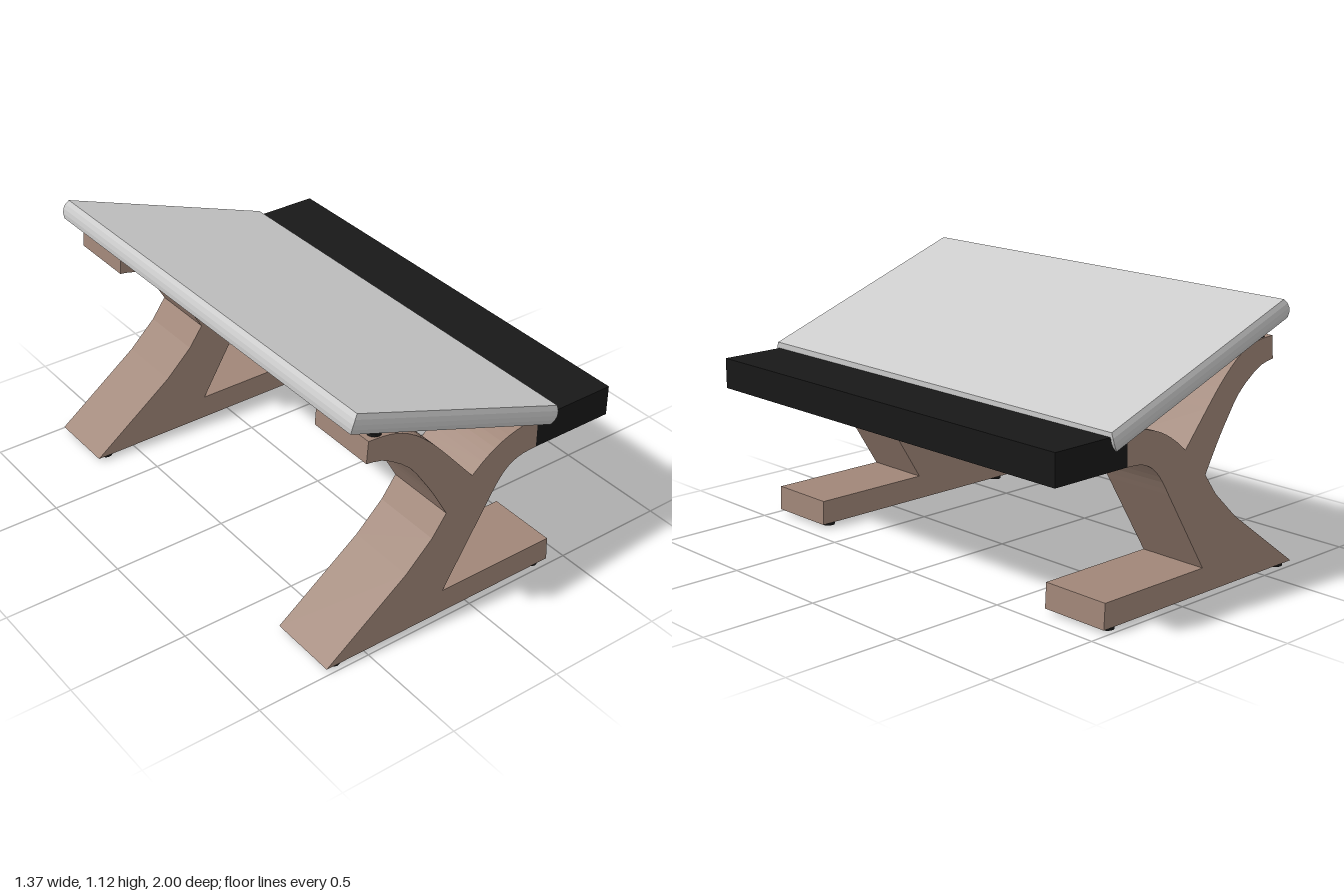
import * as THREE from 'three';

const material = (color) => new THREE.MeshStandardMaterial({ color, flatShading: true });
const grey = material(0xcccccc);
const brown = material(0xa08678);
const black = material(0x181818);

const v = (pairs) => pairs.map(([x, y]) => new THREE.Vector2(x, y));

function addMesh(parent, name, geometry, mat, x = 0, y = 0, z = 0) {
  const mesh = new THREE.Mesh(geometry, mat);
  mesh.name = name;
  mesh.position.set(x, y, z);
  parent.add(mesh);
  return mesh;
}

// Side outline of a leg: long foot, slanted stem and two curved arms
function legShape() {
  const s = new THREE.Shape();
  s.moveTo(-0.685, 0.015);
  s.lineTo(0.42, 0.015);
  s.lineTo(0.415, 0.12);
  s.lineTo(-0.13, 0.12);
  s.lineTo(0.08, 0.462);
  s.splineThru(v([[0.123, 0.53], [0.17, 0.58], [0.23, 0.608], [0.31, 0.615]]));
  s.lineTo(0.31, 0.745);
  s.splineThru(v([[0.22, 0.74], [0.13, 0.712], [0.055, 0.669], [-0.01, 0.617]]));
  s.lineTo(-0.13, 0.757);
  s.splineThru(v([[-0.205, 0.84], [-0.285, 0.912], [-0.36, 0.955], [-0.43, 0.974], [-0.507, 0.98]]));
  s.lineTo(-0.515, 0.887);
  s.splineThru(v([[-0.43, 0.866], [-0.32, 0.788], [-0.25, 0.695], [-0.195, 0.61], [-0.13, 0.495]]));
  s.lineTo(-0.195, 0.405);
  s.lineTo(-0.315, 0.29);
  return s;
}

// Slab whose four side faces bulge gently outwards
function boardGeometry(length, thickness, width, bulge) {
  const g = new THREE.BoxGeometry(length, thickness, width, 1, 4, 1);
  const p = g.attributes.position;
  for (let i = 0; i < p.count; i++) {
    const inset = bulge * (2 * p.getY(i) / thickness) ** 2;
    p.setX(i, p.getX(i) - Math.sign(p.getX(i)) * inset);
    p.setZ(i, p.getZ(i) - Math.sign(p.getZ(i)) * inset);
  }
  g.computeVertexNormals();
  return g;
}

export function createModel() {
  const model = new THREE.Group();
  model.name = 'slopedDesk';

  // Two legs with feet below and rests under the board
  const legWidth = 0.305;
  const legGeometry = new THREE.ExtrudeGeometry(legShape(), {
    depth: legWidth, bevelEnabled: false, curveSegments: 2,
  });
  const padGeometry = new THREE.CylinderGeometry(0.028, 0.028, 0.02, 12);
  for (const side of [1, -1]) {
    const leg = new THREE.Group();
    leg.name = side > 0 ? 'frontLeg' : 'backLeg';
    leg.position.z = side * 0.8325;
    addMesh(leg, 'legFrame', legGeometry, brown, 0, 0, -legWidth / 2);
    for (const z of [-0.118, 0.118]) {
      for (const x of [-0.63, 0.365]) addMesh(leg, 'footPad', padGeometry, black, x, 0.01, z);
      addMesh(leg, 'boardRest', padGeometry, black, -0.457, 0.981, z);
    }
    model.add(leg);
  }

  // Level shelf along the low edge
  addMesh(model, 'shelf', new THREE.BoxGeometry(0.37, 0.13, 1.97), black, 0.495, 0.68, 0);

  // Sloped writing board
  const board = addMesh(model, 'board', boardGeometry(1.045, 0.081, 2, 0.01), grey, -0.095, 0.905, 0);
  board.rotation.set(-0.004, 0, -0.35);

  return model;
}
